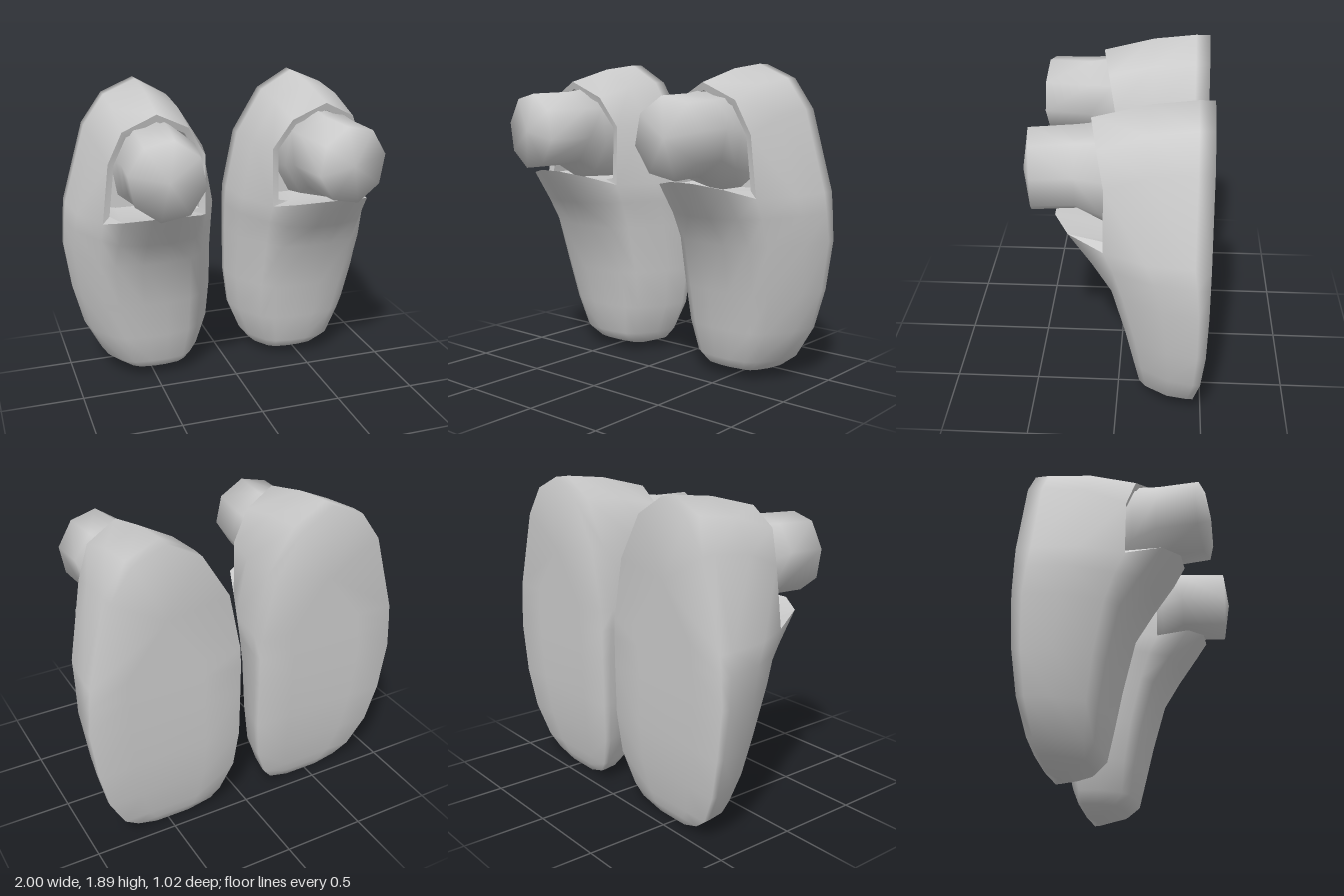
import * as THREE from 'three';
import { mergeVertices, toCreasedNormals } from 'three/addons/utils/BufferGeometryUtils.js';

const lerp = THREE.MathUtils.lerp;
const material = new THREE.MeshStandardMaterial({ color: 0xcccccc, side: THREE.DoubleSide });

// Quads between successive rows of points
function grid(out, rows, closed) {
  for (let i = 0; i < rows.length - 1; i++) {
    const n = rows[i].length;
    for (let j = 0; j < (closed ? n : n - 1); j++) {
      const k = (j + 1) % n;
      const a = rows[i][j], b = rows[i][k], c = rows[i + 1][k], d = rows[i + 1][j];
      out.push(...a, ...b, ...c, ...a, ...c, ...d);
    }
  }
}

// Cap a loop with triangles around a centre point
function fan(out, loop, centre) {
  loop.forEach((p, j) => out.push(...centre, ...p, ...loop[(j + 1) % loop.length]));
}

// Smooth geometry, mirrored across x when side is -1
function finish(points, side, crease) {
  const pos = [];
  for (let i = 0; i < points.length; i += 9) {
    const order = side > 0 ? [0, 3, 6] : [0, 6, 3];
    for (const o of order) pos.push(points[i + o] * side, points[i + o + 1], points[i + o + 2]);
  }
  const geo = new THREE.BufferGeometry();
  geo.setAttribute('position', new THREE.Float32BufferAttribute(pos, 3));
  if (crease) return toCreasedNormals(geo, crease);
  const merged = mergeVertices(geo, 1e-4);
  merged.computeVertexNormals();
  return merged;
}

// Toe-to-instep stations: y, inner x, outer x, back z, front z
const STATIONS = [
  [0.01, 0.36, 0.58, -0.41, -0.32],
  [0.06, 0.22, 0.71, -0.43, -0.18],
  [0.13, 0.165, 0.8, -0.45, -0.115],
  [0.32, 0.09, 0.9, -0.485, -0.08],
  [0.56, 0.065, 0.96, -0.505, -0.03],
  [0.86, 0.065, 1.0, -0.51, 0.05],
  [1.03, 0.065, 0.99, -0.51, 0.18],
  [1.15, 0.07, 0.98, -0.51, 0.34],
];
// Cross-section: across, depth when flat, depth at the tongue, lift of the tongue edge
const HALF = [
  [0, 0, 0, 0], [0, 0.1, 0.1, 0], [0.035, 0.45, 0.4, 0],
  [0.16, 0.83, 0.675, 0], [0.25, 0.95, 0.9, 0.06], [0.42, 1, 1, 0.09],
];
const SECTION = [
  ...HALF, ...HALF.map(([u, ...r]) => [1 - u, ...r]).reverse(),
  [0.75, 0, 0, 0], [0.25, 0, 0, 0],
];
// Heel outline (x, y) and collar rim (x, y, z), inner side over the top to the outer side
const OUTLINE = [[0.145, 1.51], [0.31, 1.78], [0.51, 1.895], [0.71, 1.81], [0.84, 1.63]];
const RIM = [[0.21, 1.51, 0.06], [0.32, 1.69, 0.1], [0.515, 1.787, 0.14], [0.71, 1.69, 0.1], [0.79, 1.5, 0.06]];

function buildShoe(side) {
  const shoe = new THREE.Group();
  const add = (name, points, crease) => {
    const mesh = new THREE.Mesh(finish(points, side, crease), material);
    mesh.name = name;
    shoe.add(mesh);
  };

  // Toe and instep, ending in the raised tongue edge
  const body = [];
  const rows = STATIONS.map(([y, x0, x1, z0, z1], i) => {
    const t = Math.max(0, (i - 5) / 2);
    return SECTION.map(([u, flat, arched, lift]) => [
      lerp(x0, x1, u),
      y + (i === STATIONS.length - 1 ? lift : 0),
      lerp(z0, z1, lerp(flat, arched, t)),
    ]);
  });
  grid(body, rows, true);
  fan(body, [...rows[0]].reverse(), [0.47, 0.005, -0.37]);

  // Heel wrapping round the opening, joined to the last station
  const last = rows[rows.length - 1];
  const rings = [0, 1, 2, 3].map((k) => {
    const middle = OUTLINE.map(([x, y], j) => {
      const t = [0, 0, 0.27, 1][k], r = RIM[j];
      return [lerp(x, r[0], t), lerp(y, r[1], t), [-0.51, -0.425, -0.17, r[2]][k]];
    });
    return [last[k], ...middle, last[11 - k]];
  });
  grid(body, [...rings].reverse(), false);
  fan(body, [...rings[0], last[12], last[13]], [0.52, 1.45, -0.51]);
  add('shoeBody', body);

  // Collar edge and lining inside the opening
  const lining = [];
  const heelRim = rings[3];
  const tongue = [last[7], last[6], last[5], last[4]];
  const shrink = (p, s, z) => [0.51 + (p[0] - 0.51) * s, 1.45 + (p[1] - 1.45) * s, z];
  const collar = [
    ...heelRim.map((p) => shrink(p, 0.87, p[2] - 0.01)),
    ...tongue.map((p) => [0.51 + (p[0] - 0.51) * 0.9, 1.175, 0.05]),
  ];
  const deep = collar.map((p) => shrink(p, 0.97, -0.12));
  grid(lining, [deep, collar, [...heelRim, ...tongue]], true);
  fan(lining, [...deep].reverse(), [0.51, 1.45, -0.12]);
  add('collarLining', lining, 0.6);

  // Ankle: z, centre x, centre y, half width, half height
  const ankle = [];
  const ankleRings = [
    [-0.13, 0.515, 1.42, 0.23, 0.28],
    [0.08, 0.515, 1.465, 0.235, 0.285],
    [0.22, 0.515, 1.495, 0.235, 0.235],
    [0.475, 0.545, 1.49, 0.217, 0.232],
  ].map(([z, cx, cy, rx, ry], i) => Array.from({ length: 8 }, (_, j) => {
    const a = (j + 0.25) * Math.PI / 4, dx = rx * Math.cos(a);
    return [cx + dx, cy + ry * Math.sin(a), z - (i === 3 ? dx * 0.12 : 0)];
  }));
  grid(ankle, ankleRings, true);
  fan(ankle, ankleRings[3], [0.54, 1.49, 0.51]);
  add('ankle', ankle);
  return shoe;
}

export function createModel() {
  const model = new THREE.Group();
  model.name = 'pairOfShoes';
  for (const side of [1, -1]) {
    const shoe = buildShoe(side);
    shoe.name = side > 0 ? 'leftShoe' : 'rightShoe';
    model.add(shoe);
  }
  return model;
}
